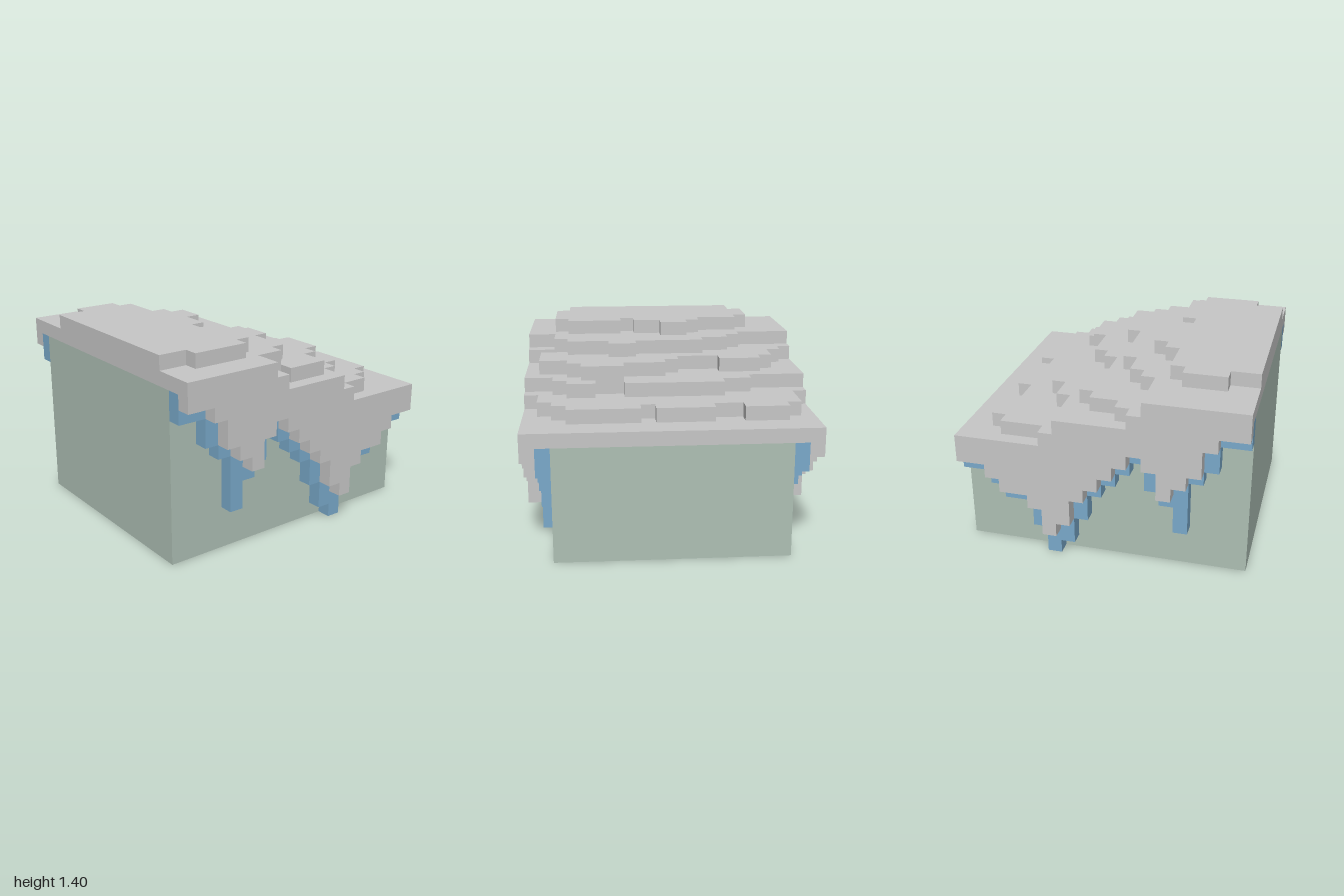
import * as THREE from 'three';

const mat = (name, color) => Object.assign(new THREE.MeshStandardMaterial({ color }), { name });

// Stair line: runs of [level, end], starting at `start` -> [position, level] corners
function stairs(start, runs) {
  const pts = [];
  let pos = start;
  for (const [level, end] of runs) {
    pts.push([pos, level], [end, level]);
    pos = end;
  }
  return pts;
}

// Closed outline between two stair lines, dropping repeated corners
function outline(a, b, swap) {
  const pts = [...a, ...b.slice().reverse()].map(([p, l]) => (swap ? [l, p] : [p, l]));
  const clean = pts.filter((p, i) => {
    const q = pts[(i + pts.length - 1) % pts.length];
    return p[0] !== q[0] || p[1] !== q[1];
  });
  return new THREE.Shape(clean.map(([x, y]) => new THREE.Vector2(x, y)));
}

const extrude = (shape, depth) => new THREE.ExtrudeGeometry(shape, { depth, bevelEnabled: false });

export function createModel() {
  const group = new THREE.Group();
  const grey = mat('stone grey', 0xc8c8c8);
  const green = mat('pale green', 0xaec0b5);
  const blue = mat('sky blue', 0x7aaacb);

  const add = (name, geometry, material) => {
    const mesh = new THREE.Mesh(geometry, material);
    mesh.name = name;
    group.add(mesh);
  };

  // Stepped top of the core, hidden under the grey layers
  const coreTop = stairs(-1, [[1.2, -0.5], [1.1, -0.3], [1.0, 0.1], [0.9, 0.3], [0.8, 1]]);

  // Core block
  const core = extrude(outline(stairs(-1, [[0, 1]]), coreTop), 1.6);
  add('core', core.translate(0, 0, -0.8), green);

  // Ragged lower edges of the curtains, as [height, right end]
  const greyEdge = stairs(-1, [
    [1.1, -0.8], [1.0, -0.7], [0.8, -0.6], [0.7, -0.5], [0.6, -0.4], [0.8, -0.3], [0.9, -0.2], [0.8, -0.1],
    [0.7, 0], [0.6, 0.1], [0.5, 0.2], [0.3, 0.3], [0.2, 0.4], [0.4, 0.5], [0.5, 0.7], [0.6, 0.8], [0.7, 1],
  ]);
  const blueEdge = stairs(-1, [
    [1.0, -0.8], [0.8, -0.7], [0.7, -0.6], [0.3, -0.5], [0.5, -0.4], [0.6, -0.3], [0.8, -0.2], [0.7, -0.1],
    [0.6, 0], [0.5, 0.1], [0.3, 0.2], [0.1, 0.3], [0, 0.4], [0.2, 0.5], [0.4, 0.7], [0.5, 0.8], [0.6, 1],
  ]);

  // Blue curtain against the core, grey curtain outside it, on front and back
  for (const [side, zBlue, zGrey] of [['front', 0.8, 0.9], ['back', -0.9, -1]]) {
    add(side + 'BlueDrips', extrude(outline(blueEdge, coreTop), 0.1).translate(0, 0, zBlue), blue);
    add(side + 'GreyDrips', extrude(outline(greyEdge, coreTop), 0.1).translate(0, 0, zGrey), grey);
  }

  // Terrain layers: right edge as [x, far z], running from back to front
  const layers = [
    { top: 0.9, left: 0.3, edge: [[1, 1]] },
    {
      top: 1.0, left: 0.1,
      edge: [[0.4, -0.9], [0.7, -0.8], [0.8, -0.5], [0.7, -0.3], [0.8, 0.1], [0.7, 0.2],
        [0.8, 0.7], [0.7, 0.8], [0.6, 0.9], [0.4, 1]],
    },
    {
      top: 1.1, left: -0.3,
      edge: [[0.3, -0.6], [0.4, -0.4], [0.5, 0.3], [0.4, 0.5], [0.5, 0.7], [0.4, 0.8], [0.3, 1]],
    },
    {
      top: 1.2, left: -0.5,
      edge: [[-0.2, -0.9], [-0.1, -0.8], [0.1, -0.7], [0.2, -0.4], [0.1, -0.1], [0.2, 0], [0.3, 0.3],
        [0.4, 0.6], [0.3, 0.7], [0.2, 0.9], [-0.1, 0.8], [-0.2, 1]],
    },
    {
      top: 1.3, left: -1,
      edge: [[-0.3, -0.6], [-0.2, -0.5], [-0.1, -0.3], [0, 0.2], [0.1, 0.4], [0, 0.7], [-0.1, 0.8], [-0.3, 1]],
    },
    {
      top: 1.4, start: -0.7, leftEdge: [[-0.8, -0.6], [-1, 0.7], [-0.8, 0.8]],
      edge: [[-0.5, -0.6], [-0.4, -0.3], [-0.3, -0.2], [-0.2, 0], [-0.3, 0.2], [-0.4, 0.3], [-0.3, 0.7], [-0.4, 0.8]],
    },
  ];
  layers.forEach(({ top, left, start = -1, leftEdge = [[left, 1]], edge }, i) => {
    const shape = outline(stairs(start, edge), stairs(start, leftEdge), true);
    add('terrainLayer' + (i + 1), extrude(shape, 0.1).rotateX(Math.PI / 2).translate(0, top, 0), grey);
  });

  return group;
}
